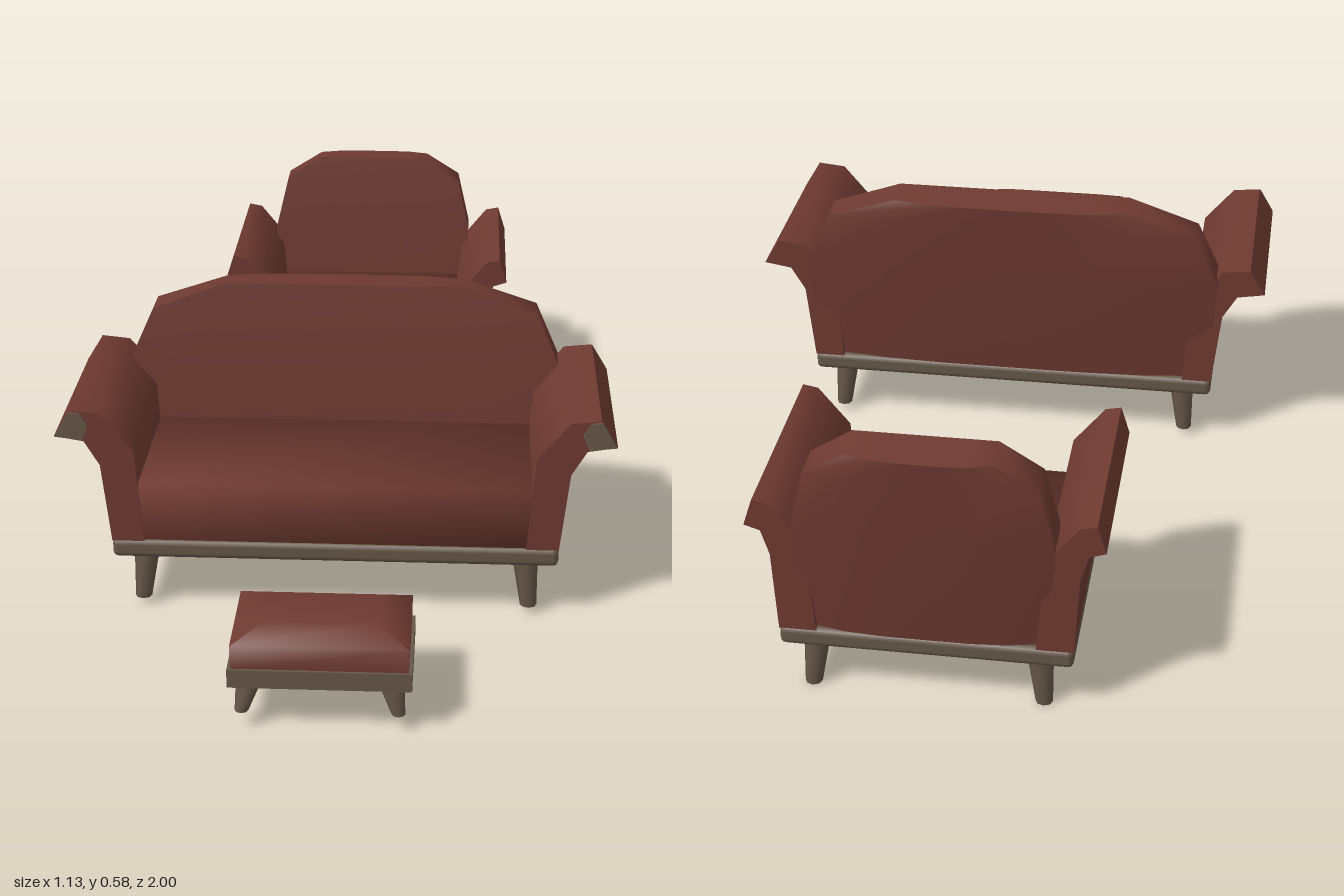
import * as THREE from 'three';
import { toCreasedNormals } from 'three/addons/utils/BufferGeometryUtils.js';
import { RoundedBoxGeometry } from 'three/addons/geometries/RoundedBoxGeometry.js';

const leather = new THREE.MeshStandardMaterial({ color: 0x6e3a31 });
leather.name = 'brown leather';
const wood = new THREE.MeshStandardMaterial({ color: 0x665749 });
wood.name = 'grey wood';

function add(group, name, geometry, material, x = 0, y = 0, z = 0) {
  const mesh = new THREE.Mesh(geometry, material);
  mesh.name = name;
  mesh.position.set(x, y, z);
  group.add(mesh);
  return mesh;
}

// Moves every vertex of a geometry by a rule, then renews the normals
function shaped(geometry, rule, crease) {
  const p = geometry.attributes.position;
  for (let i = 0; i < p.count; i++) p.setXYZ(i, ...rule(p.getX(i), p.getY(i), p.getZ(i)));
  return toCreasedNormals(geometry, crease);
}

// Four tapered legs whose feet are shifted outward
function addLegs(group, { x, z, zc, top, bottom, rTop, rBottom, dx, dz }) {
  for (const sx of [-1, 1]) {
    for (const sz of [-1, 1]) {
      const h = top - bottom;
      const leg = new THREE.CylinderGeometry(rTop, rBottom, h, 8);
      const p = leg.attributes.position;
      for (let i = 0; i < p.count; i++) {
        if (p.getY(i) < 0) p.setXYZ(i, p.getX(i) + sx * dx, p.getY(i), p.getZ(i) + sz * dz);
      }
      leg.computeVertexNormals();
      add(group, 'leg', toCreasedNormals(leg, 0.9), wood, sx * x, bottom + h / 2, zc + sz * z);
    }
  }
}

// Arm cross-section as [offset from the base edge, height]
const ARM = [
  [0, 0.15], [0.019, 0.318], [0.05, 0.37], [0.11, 0.38],
  [0.076, 0.436], [0.016, 0.43], [-0.05, 0.352], [-0.066, 0.15],
];
const ARM_CAP = [[0.04, 0.405], [0.056, 0.431], [0.078, 0.434], [0.109, 0.381], [0.053, 0.374]];

// Back rows from bottom to top: share of width, height, front z, rear z
const BACK = [
  [0.955, 0.15, 0.165, 0.08],
  [1, 0.4, 0.148, 0.048],
  [0.885, 0.52, 0.134, 0.038],
  [0.553, 0.577, 0.125, 0.033],
];

function upholsteredSeat({ name, base, back, seat, outer, inner, caps }) {
  const g = new THREE.Group();
  g.name = name;
  const front = 0.515, rear = 0.08;
  const mid = (front + rear) / 2;

  add(g, 'baseFrame', new RoundedBoxGeometry(base * 2, 0.04, 0.442, 2, 0.012), wood, 0, 0.133, mid);
  add(g, 'seatCushion', toCreasedNormals(new THREE.BoxGeometry(seat * 2 + 0.02, 0.128, 0.41), 2),
    leather, 0, 0.214, 0.306);

  // Leaning back with chamfered shoulders and bowed rear
  const backGeo = shaped(new THREE.BoxGeometry(2, 3, 2, 6, 3, 1), (x, y, z) => {
    const [w, h, zf, zr] = BACK[Math.round(y + 1.5)];
    const depth = z > 0 ? zf : zr + 0.018 * x * x * x * x;
    return [x * w * back, h - (z < 0 && y > 1 ? 0.007 : 0), depth];
  }, 0.9);
  add(g, 'backrest', backGeo, leather);

  // Flared arms with rolled tops
  for (const s of [-1, 1]) {
    const outline = (points) => new THREE.Shape(points.map(([x, y]) =>
      new THREE.Vector2(s * (base + x * (x > 0 ? outer : inner)), y)));
    const arm = new THREE.ExtrudeGeometry(outline(ARM), { depth: front - rear, bevelEnabled: false });
    add(g, s > 0 ? 'leftArm' : 'rightArm', toCreasedNormals(arm, 1.0), leather, 0, 0, rear);
    if (caps) {
      const cap = new THREE.ExtrudeGeometry(outline(ARM_CAP), { depth: 0.006, bevelEnabled: false });
      add(g, s > 0 ? 'leftArmCap' : 'rightArmCap', cap, wood, 0, 0, front - 0.001);
    }
  }

  addLegs(g, {
    x: base - 0.067, z: 0.187, zc: mid, top: 0.118, bottom: 0.015,
    rTop: 0.026, rBottom: 0.017, dx: 0.009, dz: 0.007,
  });
  return g;
}

function footstool() {
  const g = new THREE.Group();
  g.name = 'footstool';
  const zc = 0.88;
  add(g, 'stoolFrame', new THREE.BoxGeometry(0.345, 0.037, 0.235), wood, 0, 0.105, zc);
  // Cushion rows: height, half width, half depth
  const rows = [[0.122, 0.166, 0.112], [0.17, 0.167, 0.113], [0.197, 0.107, 0.06]];
  const cushion = shaped(new THREE.BoxGeometry(2, 2, 2, 1, 2, 1), (x, y, z) => {
    const [h, w, d] = rows[Math.round(y + 1)];
    return [x * w, h, z * d];
  }, 1.3);
  add(g, 'stoolCushion', cushion, leather, 0, 0, zc);
  addLegs(g, {
    x: 0.133, z: 0.088, zc, top: 0.09, bottom: 0.032,
    rTop: 0.025, rBottom: 0.013, dx: 0.014, dz: 0.015,
  });
  return g;
}

export function createModel() {
  const model = new THREE.Group();
  model.name = 'loungeSet';

  const sofa = upholsteredSeat({
    name: 'sofa', base: 0.457, back: 0.465, seat: 0.39, outer: 1, inner: 1, caps: true,
  });
  const armchair = upholsteredSeat({
    name: 'armchair', base: 0.284, back: 0.247, seat: 0.21, outer: 0.52, inner: 1.1, caps: false,
  });
  armchair.position.set(0.016, -0.015, -1.037);

  model.add(sofa, armchair, footstool());
  return model;
}
